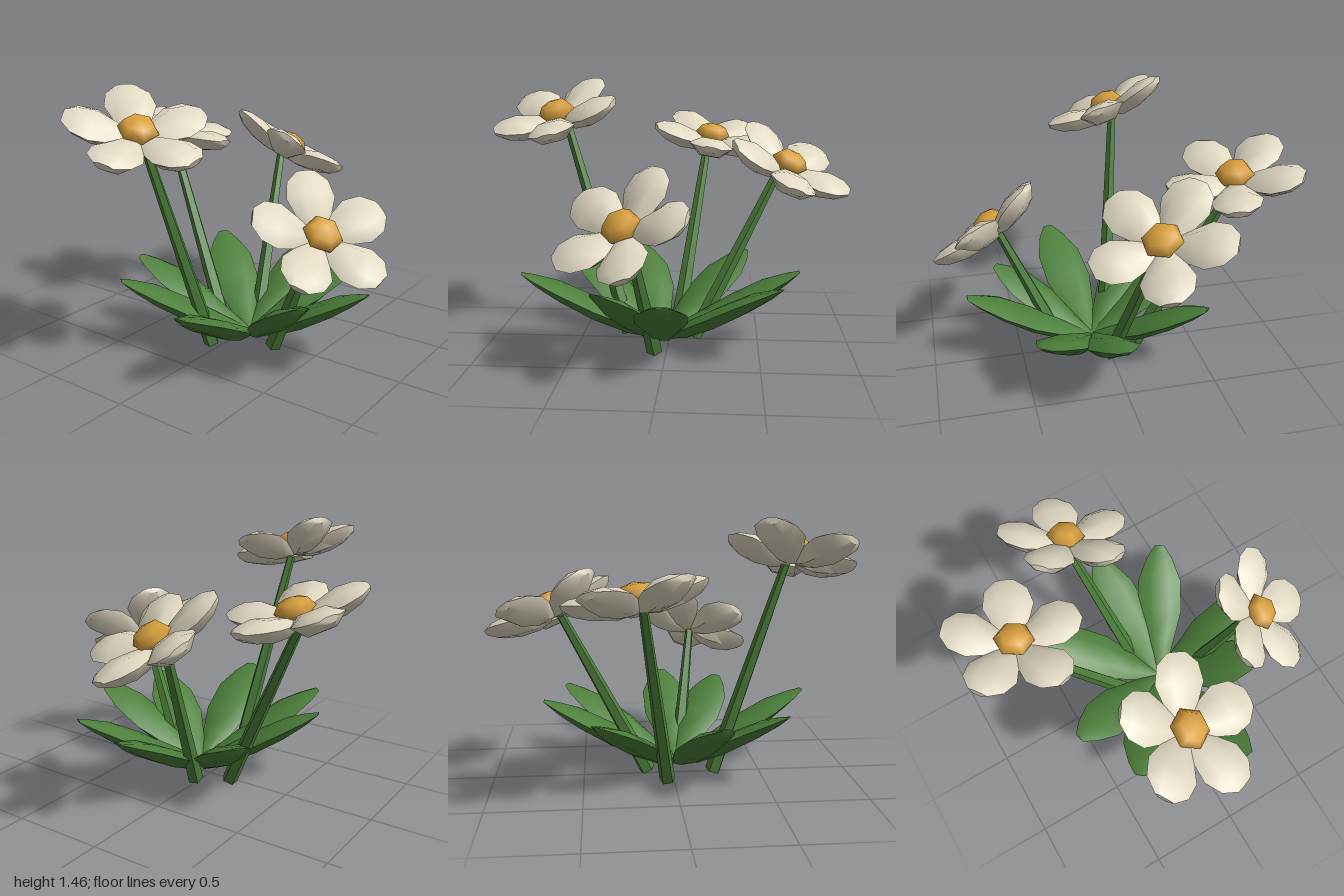
import * as THREE from 'three';
import { toCreasedNormals } from 'three/addons/utils/BufferGeometryUtils.js';

const material = (name, color) => {
  const m = new THREE.MeshStandardMaterial({ color });
  m.name = name;
  return m;
};

// Closed blade along +x; each row: [x, half width, edge height, top bulge, bottom bulge]
function bladeGeometry(rows) {
  const pos = [], index = [], n = 6;
  for (const [x, w, y, top, bottom] of rows) {
    const ring = [[w, 0], [w * 0.45, top], [-w * 0.45, top], [-w, 0], [-w * 0.45, -bottom], [w * 0.45, -bottom]];
    for (const [z, dy] of ring) pos.push(x, y + dy, z);
  }
  for (let i = 0; i < rows.length - 1; i++) {
    for (let j = 0; j < n; j++) {
      const a = i * n + j, b = i * n + (j + 1) % n, c = a + n, d = b + n;
      index.push(a, c, b, b, c, d);
    }
  }
  const last = (rows.length - 1) * n;
  for (let j = 1; j < n - 1; j++) {
    index.push(0, j, j + 1);
    index.push(last, last + j + 1, last + j);
  }
  const g = new THREE.BufferGeometry();
  g.setAttribute('position', new THREE.Float32BufferAttribute(pos, 3));
  g.setIndex(index);
  return toCreasedNormals(g, 0.9);
}

export function createModel() {
  const model = new THREE.Group();
  model.name = 'floweringPlant';
  const leafGreen = material('leafGreen', 0x4c7f3a);
  const petalCream = material('petalCream', 0xe0d8c2);
  const centreOrange = material('centreOrange', 0xd9a03c);

  const add = (parent, name, geometry, mat) => {
    const mesh = new THREE.Mesh(geometry, mat);
    mesh.name = name;
    parent.add(mesh);
    return mesh;
  };

  // Leaves: a rosette rising outward from the base
  const leafGeometry = bladeGeometry([
    [0.00, 0.032, 0.045, 0.015, 0.02],
    [0.18, 0.085, 0.13, 0.035, 0.055],
    [0.36, 0.138, 0.23, 0.040, 0.065],
    [0.53, 0.132, 0.325, 0.035, 0.055],
    [0.65, 0.080, 0.385, 0.018, 0.03],
    [0.72, 0.030, 0.42, 0.004, 0.005],
  ]);
  const leafTips = [
    [-0.22, -0.57], [0.43, -0.46], [0.72, 0.07], [0.60, 0.45],
    [0.01, 0.79], [-0.33, 0.60], [-0.79, 0.21], [-0.58, -0.38],
  ];
  const heart = [-0.03, 0.08];
  for (const [x, z] of leafTips) {
    const dx = x - heart[0], dz = z - heart[1];
    const leaf = add(model, 'leaf', leafGeometry, leafGreen);
    leaf.position.set(heart[0], 0, heart[1]);
    leaf.rotation.y = Math.atan2(-dz, dx);
    leaf.scale.x = Math.hypot(dx, dz) / 0.72;
  }

  // Plump, cupped petal and low domed flower centre
  const petalGeometry = bladeGeometry([
    [0.02, 0.040, -0.010, 0.015, 0.035],
    [0.11, 0.088, 0.003, 0.038, 0.060],
    [0.22, 0.134, 0.032, 0.045, 0.070],
    [0.31, 0.114, 0.052, 0.030, 0.056],
    [0.365, 0.052, 0.062, 0.008, 0.025],
  ]);
  const centreGeometry = new THREE.SphereGeometry(0.105, 6, 4);
  centreGeometry.scale(1, 0.62, 1);

  // Each flower: head position, facing, turn of the petals, stem top and stem foot
  const flowers = [
    { at: [-0.64, 1.24, -0.16], facing: [-0.25, 1, 0.40], turn: 54, neck: [-0.59, 1.20, -0.17], foot: [-0.23, 0.02, -0.04] },
    { at: [0.22, 1.075, -0.65], facing: [0.18, 1, 0.22], turn: 54, neck: [0.195, 1.06, -0.67], foot: [0.04, 0.02, -0.16] },
    { at: [0.65, 0.965, -0.13], facing: [0.48, 1, 0.36], turn: 60, neck: [0.60, 0.94, -0.14], foot: [0.14, 0.02, 0.01] },
    { at: [-0.175, 0.745, 0.61], facing: [-0.48, 1, 0.75], turn: 54, neck: [-0.16, 0.72, 0.58], foot: [-0.06, 0.02, 0.26] },
  ];
  const up = new THREE.Vector3(0, 1, 0);
  for (const { at, facing, turn, neck, foot } of flowers) {
    const flower = new THREE.Group();
    flower.name = 'flower';
    flower.position.set(...at);
    flower.quaternion.setFromUnitVectors(up, new THREE.Vector3(...facing).normalize());
    for (let i = 0; i < 5; i++) {
      const petal = add(flower, 'petal', petalGeometry, petalCream);
      petal.rotation.y = THREE.MathUtils.degToRad(turn + i * 72);
    }
    add(flower, 'flowerCentre', centreGeometry, centreOrange).position.y = 0.04;
    model.add(flower);

    // Tapered straight stem
    const start = new THREE.Vector3(...foot), end = new THREE.Vector3(...neck);
    const along = end.clone().sub(start);
    const stemGeometry = toCreasedNormals(new THREE.CylinderGeometry(0.024, 0.045, along.length(), 5), 0.8);
    const stem = add(model, 'stem', stemGeometry, leafGreen);
    stem.position.copy(start).add(end).multiplyScalar(0.5);
    stem.quaternion.setFromUnitVectors(up, along.normalize());
  }
  return model;
}
